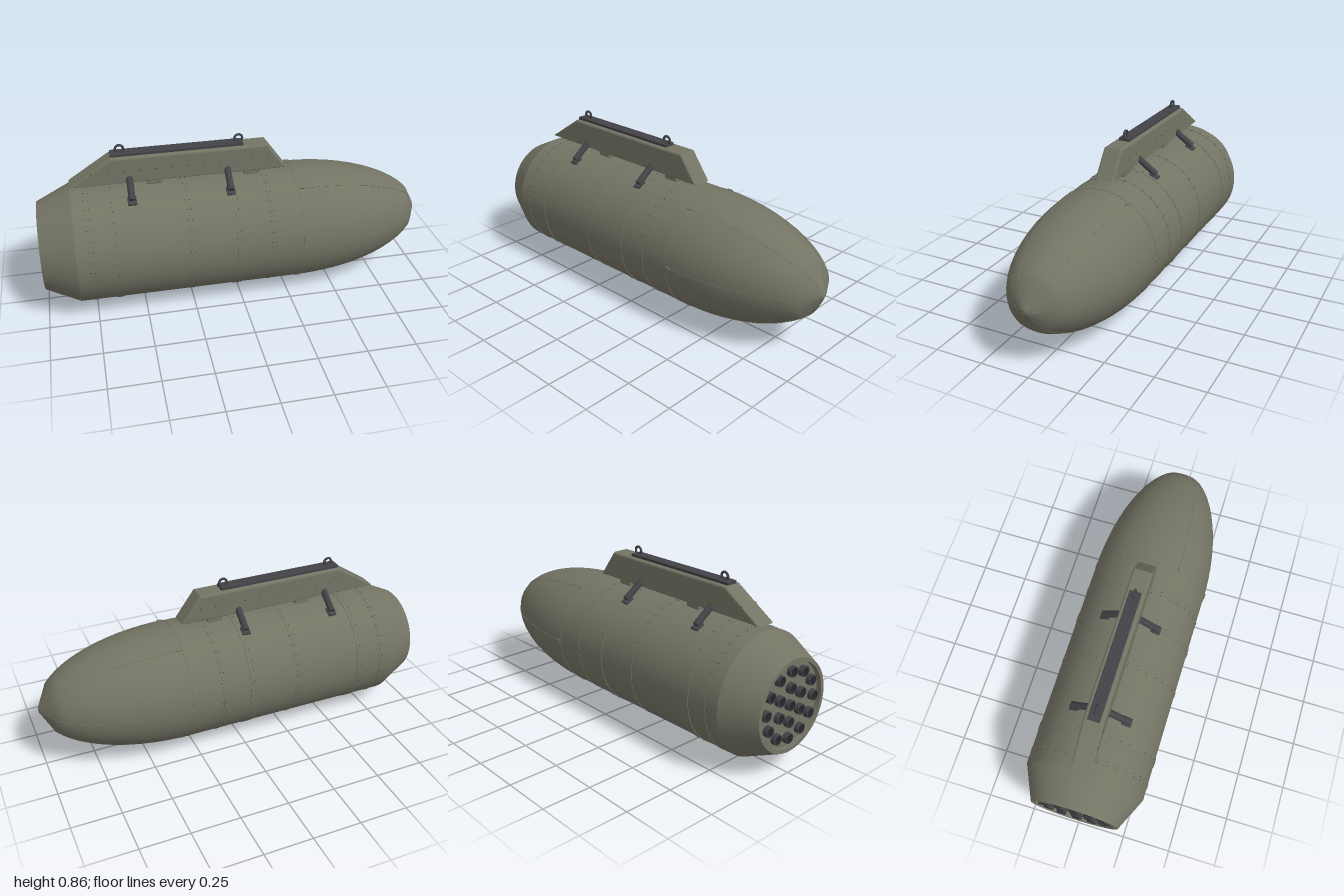
import * as THREE from 'three';
import { mergeGeometries } from 'three/addons/utils/BufferGeometryUtils.js';
import { RoundedBoxGeometry } from 'three/addons/geometries/RoundedBoxGeometry.js';

const AXIS_Y = 0.335, R = 0.305;

export function createModel() {
  const model = new THREE.Group();
  const mat = (name, color) => {
    const m = new THREE.MeshStandardMaterial({ color });
    m.name = name;
    return m;
  };
  const olive = mat('olive paint', 0x747465);
  const dark = mat('dark metal', 0x424247);
  const rivetMat = mat('rivet metal', 0x4a4a42);
  const bore = mat('tube bore', 0x26262a);

  const add = (name, geo, material, x = 0, y = 0, z = 0, parent = model) => {
    const m = new THREE.Mesh(geo, material);
    m.name = name;
    m.position.set(x, y, z);
    parent.add(m);
    return m;
  };
  // Turned shape about the long axis, from [x, radius] pairs
  const turned = (pts, segs = 72) =>
    new THREE.LatheGeometry(pts.map(([x, r]) => new THREE.Vector2(r, x)), segs).rotateZ(-Math.PI / 2);
  const addTurned = (name, pts, material = olive) => add(name, turned(pts), material, 0, AXIS_Y);
  // Raised band around the body
  const addBand = (name, x, half, lift) => {
    const r = R + lift;
    addTurned(name, [[x - half, r], [x + half, r]]);
    addTurned(name + 'RearEdge', [[x - half, R - 0.002], [x - half, r]]);
    addTurned(name + 'FrontEdge', [[x + half, r], [x + half, R - 0.002]]);
  };

  // Main shell, each hard-edged section turned separately
  addTurned('bodyTube', [[-0.83, R], [0.3, R]]);
  addTurned('tailCone', [[-1, 0.225], [-0.83, R]]);
  addTurned('tailRim', [[-1, 0.207], [-1, 0.225]]);
  addTurned('tailOpening', [[-0.975, 0.207], [-1, 0.207]]);
  addTurned('tailPlate', [[-0.975, 0], [-0.975, 0.207]]);

  // Elliptical nose with a blunt tip
  const nosePoint = (t, lift = 0) => [0.3 + 0.7 * t, R * Math.sqrt(1 - t * t) + lift];
  const steps = [0, 0.08, 0.16, 0.25, 0.34, 0.43, 0.52, 0.61, 0.69, 0.76, 0.82, 0.87, 0.915];
  addTurned('nose', [...steps.map(t => nosePoint(t)), [1, 0.011]]);
  addTurned('noseTip', [[1, 0.011], [1, 0]]);

  // Six slim ribs following the nose curve, each with a clip at its root
  const ribOuter = [...steps.map(t => nosePoint(t, 0.002)), [0.99, 0.032]];
  const ribInner = [...steps.map(t => nosePoint(t, -0.008)), [0.98, 0.028]].reverse();
  const ribShape = new THREE.Shape([...ribOuter, ...ribInner].map(([x, r]) => new THREE.Vector2(x, r)));
  const ribGeo = new THREE.ExtrudeGeometry(ribShape, { depth: 0.007, bevelEnabled: false })
    .translate(0, 0, -0.0035);
  const clipGeo = new THREE.BoxGeometry(0.026, 0.012, 0.014);
  for (let i = 0; i < 6; i++) {
    const rib = new THREE.Group();
    rib.name = 'noseRib';
    rib.position.y = AXIS_Y;
    rib.rotation.x = Math.PI / 2 + (i * Math.PI) / 3;
    model.add(rib);
    add('ribStrip', ribGeo, olive, 0, 0, 0, rib);
    add('ribClip', clipGeo, olive, 0.314, R, 0, rib);
  }

  // Ring of small rivets around the body
  const rivetRing = (x, count, offset, radius) => {
    const list = [];
    for (let i = 0; i < count; i++) {
      const a = ((i + offset) / count) * Math.PI * 2;
      list.push(new THREE.SphereGeometry(0.003, 6, 4)
        .translate(x, Math.cos(a) * radius, Math.sin(a) * radius));
    }
    return list;
  };

  // Panel joints: raised band with rivets either side
  for (const x of [-0.757, -0.267, 0.14]) {
    addBand('joint', x, 0.004, 0.002);
    add('jointRivets', mergeGeometries([
      ...rivetRing(x - 0.01, 36, 0, R), ...rivetRing(x + 0.01, 36, 0, R)]), rivetMat, 0, AXIS_Y);
  }
  addBand('noseJoint', 0.298, 0.004, 0.002);

  // Support straps with rivets and a lug under each
  for (const x of [-0.635, -0.025]) {
    addBand('strap', x, 0.02, 0.003);
    add('strapRivets', mergeGeometries(rivetRing(x, 36, 0.5, R + 0.003)), rivetMat, 0, AXIS_Y);
    add('lug', new RoundedBoxGeometry(0.052, 0.034, 0.05, 2, 0.006), dark, x, 0.017);
  }

  // Nineteen tubes at the tail: one centre, rings of six and twelve
  const tubes = new THREE.Group();
  tubes.name = 'tailTubes';
  model.add(tubes);
  const sleeveGeo = turned([[-0.998, 0.026], [-0.973, 0.026]], 20);
  const rimGeo = turned([[-0.998, 0.02], [-0.998, 0.026]], 20);
  const boreGeo = turned([[-0.994, 0], [-0.994, 0.02], [-0.998, 0.02]], 20);
  for (const [count, radius] of [[1, 0], [6, 0.083], [12, 0.163]]) {
    for (let i = 0; i < count; i++) {
      const a = (i / count) * Math.PI * 2;
      const y = AXIS_Y + Math.cos(a) * radius, z = Math.sin(a) * radius;
      add('tubeSleeve', sleeveGeo, dark, 0, y, z, tubes);
      add('tubeRim', rimGeo, dark, 0, y, z, tubes);
      add('tubeBore', boreGeo, bore, 0, y, z, tubes);
    }
  }

  // Pylon: trapezoid with rounded edges
  const side = new THREE.Shape([[-0.83, 0.668], [0.26, 0.668], [0.16, 0.806], [-0.62, 0.806]]
    .map(([x, y]) => new THREE.Vector2(x, y)));
  const pylonGeo = new THREE.ExtrudeGeometry(side, {
    depth: 0.076, bevelEnabled: true, bevelThickness: 0.012, bevelSize: 0.012,
    bevelOffset: -0.012, bevelSegments: 4 });
  add('pylon', pylonGeo, olive, 0, 0, -0.038);
  add('pylonRail', new RoundedBoxGeometry(0.66, 0.018, 0.06, 2, 0.003), dark, -0.29, 0.811);
  for (const x of [-0.41, 0.08])
    add('pylonPad', new RoundedBoxGeometry(0.078, 0.034, 0.08, 2, 0.005), olive, x, 0.662);

  // Pylon rivets on both faces
  const pylonRivets = [];
  for (const s of [-1, 1]) for (let i = 0; i < 12; i++)
    pylonRivets.push(new THREE.SphereGeometry(0.0035, 6, 4).translate(-0.72 + i * 0.08, 0.735, s * 0.05));
  add('pylonRivets', mergeGeometries(pylonRivets), rivetMat);

  // Hanging rings with small feet on the rail
  for (const x of [-0.572, 0.02]) {
    add('hangingRing', new THREE.TorusGeometry(0.02, 0.006, 10, 24), dark, x, 0.834);
    add('ringFoot', new THREE.BoxGeometry(0.03, 0.006, 0.012), dark, x, 0.82);
  }

  // Diagonal sway braces with flat feet on the shell
  for (const x of [-0.535, -0.045]) for (const s of [-1, 1]) {
    const brace = new THREE.Group();
    brace.name = 'swayBrace';
    brace.position.set(x, 0.658, s * 0.09);
    brace.rotation.x = -s * 0.94;
    model.add(brace);
    add('braceRod', new THREE.CylinderGeometry(0.017, 0.017, 0.126, 16), dark, 0, 0, 0, brace);
    const foot = add('braceFoot', new RoundedBoxGeometry(0.044, 0.014, 0.05, 2, 0.004),
      dark, x, 0.612, s * 0.132);
    foot.rotation.x = s * 0.46;
  }
  return model;
}
